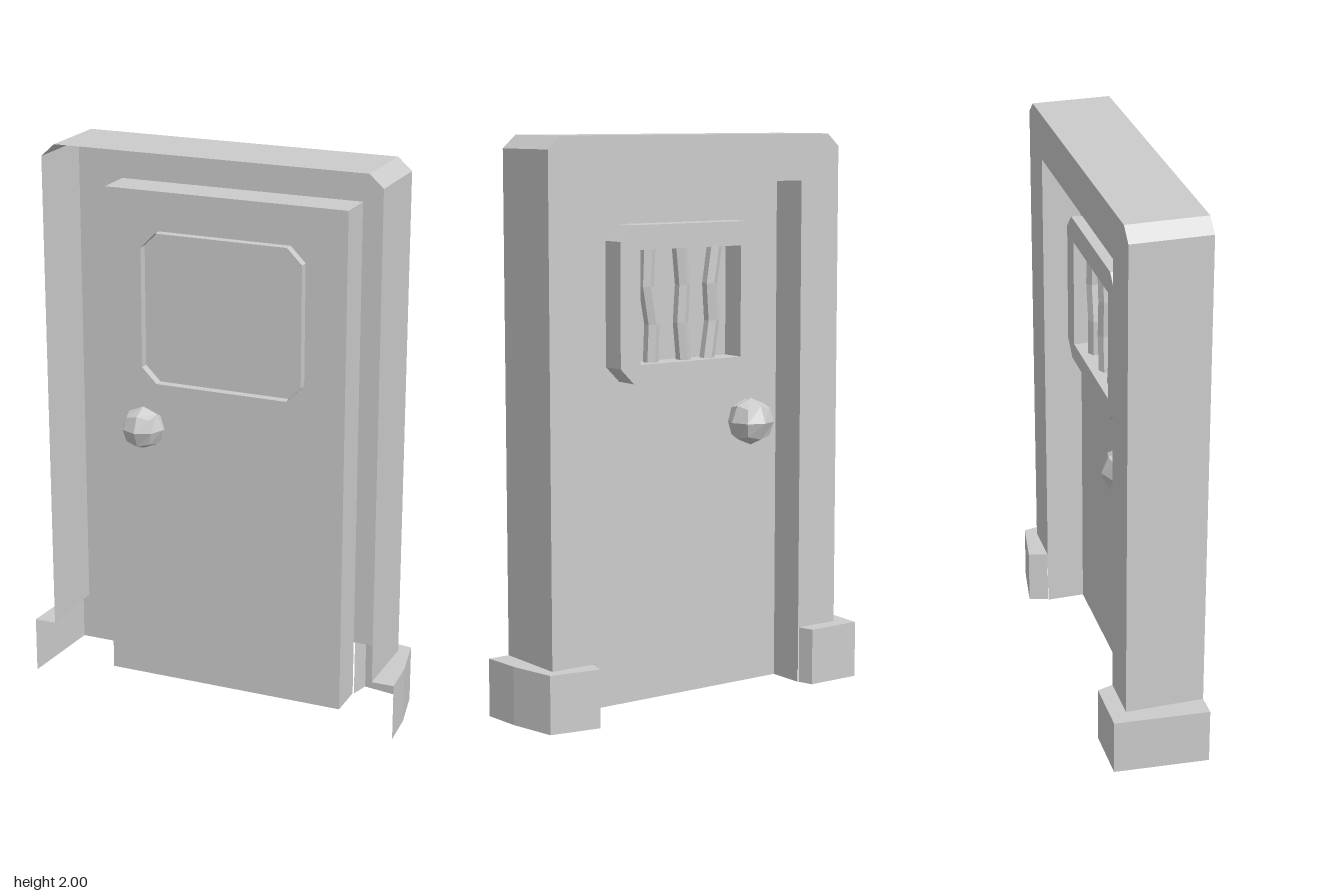
import * as THREE from 'three';

const mat = new THREE.MeshStandardMaterial({ color: 0xcccccc, flatShading: true, side: THREE.DoubleSide });

// Key depths
const FRONT = 0.175, BACK = -0.105, DOOR = 0.035;
const BASE = 0.205;

function add(parent, name, geometry) {
  const mesh = new THREE.Mesh(geometry, mat);
  mesh.name = name;
  parent.add(mesh);
  return mesh;
}

// Thin wall that follows an x/y path from depth z0 to z1
function wall(path, z0, z1, closed = false) {
  const pts = closed ? [...path, path[0]] : path;
  const pos = [];
  for (let i = 0; i < pts.length - 1; i++) {
    const [ax, ay] = pts[i], [bx, by] = pts[i + 1];
    pos.push(ax, ay, z0, bx, by, z0, bx, by, z1, ax, ay, z0, bx, by, z1, ax, ay, z1);
  }
  const g = new THREE.BufferGeometry();
  g.setAttribute('position', new THREE.Float32BufferAttribute(pos, 3));
  g.computeVertexNormals();
  return g;
}

// Flat face from an outline and an optional hole, at depth z
function face(outline, z, hole) {
  const toVec = (p) => new THREE.Vector2(p[0], p[1]);
  const shape = new THREE.Shape(outline.map(toVec));
  if (hole) shape.holes.push(new THREE.Path(hole.map(toVec)));
  return new THREE.ShapeGeometry(shape).translate(0, 0, z);
}

// Ball made from a subdivided cube
function ball(r) {
  const g = new THREE.BoxGeometry(1, 1, 1, 2, 2, 2);
  const p = g.attributes.position, v = new THREE.Vector3();
  for (let i = 0; i < p.count; i++) {
    v.fromBufferAttribute(p, i).setLength(r);
    p.setXYZ(i, v.x, v.y, v.z);
  }
  g.computeVertexNormals();
  return g;
}

function createFrame() {
  const frame = new THREE.Group();
  frame.name = 'frame';
  const outer = [[-0.62, BASE], [-0.62, 1.955], [-0.57, 2], [0.57, 2], [0.62, 1.955], [0.62, BASE]];
  const opening = [[0.45, 0], [0.45, 1.835], [-0.45, 1.835], [-0.45, 0]];
  const inner = opening.map(([x, y]) => [x, y || BASE]);
  add(frame, 'frameOuterWall', wall(outer, BACK, FRONT));
  add(frame, 'frameBackFace', face([...outer, ...inner], BACK));
  add(frame, 'doorJamb', wall(opening, BACK, DOOR));
  return frame;
}

// Hollow foot stone: outline given as x/z points from the front to the jamb
function createFoot(name, outline) {
  const foot = new THREE.Group();
  foot.name = name;
  const s = Math.sign(outline[0][0]);
  add(foot, name + 'Wall', wall(outline, 0, -BASE).rotateX(Math.PI / 2));
  const ledge = [...outline, [s * 0.45, BACK], [s * 0.62, BACK], [s * 0.62, FRONT]];
  add(foot, name + 'Ledge', face(ledge, -BASE).rotateX(Math.PI / 2));
  return foot;
}

function createWindow() {
  const win = new THREE.Group();
  win.name = 'window';
  const back = -0.055, w = 0.3, b = 1.15, t = 1.695, c = 0.055;
  const rim = [[-w, b + c], [-w + c, b], [w - c, b], [w, b + c], [w, t - c], [w - c, t], [-w + c, t], [-w, t - c]];
  const hole = [[-0.217, 1.215], [0.217, 1.215], [0.217, 1.61], [-0.217, 1.61]];
  add(win, 'windowRim', wall(rim, back, 0.068, true));
  add(win, 'windowBackFace', face(rim, back, hole));
  add(win, 'windowReveal', wall(hole, back, DOOR, true));

  // Slightly crooked bars: x, sideways bend, lean
  [[0.142, 0.008, 0.012], [0.003, -0.006, 0.004], [-0.125, 0.008, -0.01]].forEach(([x, bend, lean], n) => {
    const g = new THREE.CylinderGeometry(0.027, 0.027, 0.395, 6, 3);
    const p = g.attributes.position;
    for (let i = 0; i < p.count; i++) {
      const k = p.getY(i) / 0.1975;
      p.setX(i, p.getX(i) + lean * k + bend * Math.sin(k * 4));
    }
    g.computeVertexNormals();
    add(win, 'bar' + (n + 1), g).position.set(x, 1.4125, 0.0);
  });
  return win;
}

export function createModel() {
  const model = new THREE.Group();
  model.name = 'barredDoor';

  model.add(createFrame());

  // Uneven foot stones on both sides
  model.add(createFoot('rightFoot', [[-0.7, FRONT], [-0.675, -0.163], [-0.47, -0.163], [-0.453, BACK]]));
  model.add(createFoot('leftFoot', [[0.7, FRONT], [0.69, 0.03], [0.655, -0.145], [0.473, -0.175], [0.455, BACK]]));

  // Door panel and its barred window
  add(model, 'doorPanel', face([[-0.45, 0], [0.45, 0], [0.45, 1.835], [-0.45, 1.835]], DOOR));
  model.add(createWindow());

  // Knobs on both faces
  add(model, 'frontKnob', ball(0.078)).position.set(-0.31, 0.972, 0.045);
  add(model, 'backKnob', ball(0.085)).position.set(-0.295, 0.972, -0.015);

  return model;
}
